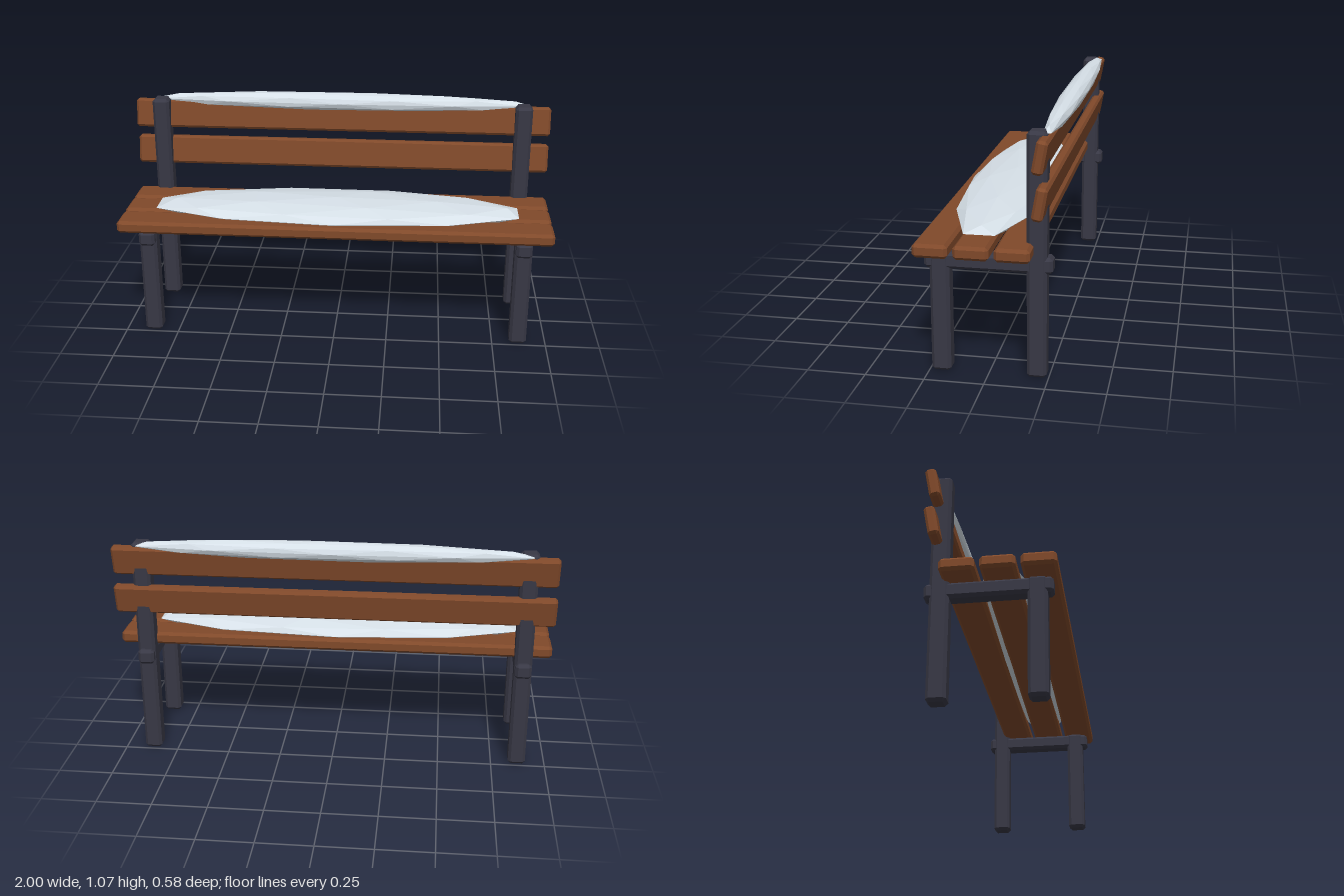
import * as THREE from 'three';
import { ConvexGeometry } from 'three/addons/geometries/ConvexGeometry.js';

function material(name, color) {
  const m = new THREE.MeshStandardMaterial({ color });
  m.name = name;
  return m;
}

// Box with chamfered edges, centred on the origin
function chamferBox(w, h, d, c) {
  const points = [];
  for (const x of [-1, 1]) for (const y of [-1, 1]) for (const z of [-1, 1]) {
    const X = w / 2, Y = h / 2, Z = d / 2;
    points.push(
      new THREE.Vector3(x * X, y * (Y - c), z * (Z - c)),
      new THREE.Vector3(x * (X - c), y * Y, z * (Z - c)),
      new THREE.Vector3(x * (X - c), y * (Y - c), z * Z),
    );
  }
  return new ConvexGeometry(points);
}

// Faceted sphere with a pole at the top, stretched into a mound
function moundGeometry(rx, ry, rz) {
  const verts = [0, 1, 0], faces = [];
  for (let i = 0; i < 10; i++) {
    const a = (i % 5) * Math.PI * 0.4 + (i < 5 ? 0 : Math.PI / 5);
    const r = 2 / Math.sqrt(5), y = (i < 5 ? 1 : -1) / Math.sqrt(5);
    verts.push(r * Math.cos(a), y, r * Math.sin(a));
  }
  verts.push(0, -1, 0);
  for (let i = 0; i < 5; i++) {
    const j = (i + 1) % 5, u = 1 + i, v = 1 + j, l = 6 + i, m = 6 + j;
    faces.push(0, v, u, u, v, l, l, v, m, l, m, 11);
  }
  const g = new THREE.PolyhedronGeometry(verts, faces, 1, 1);
  g.scale(rx, ry, rz);
  g.computeVertexNormals();
  return g;
}

export function createModel() {
  const wood = material('brown wood', 0x80492a);
  const metal = material('dark metal', 0x383845);
  const snow = material('snow', 0xdce6ee);
  const bench = new THREE.Group();
  bench.name = 'bench';

  function add(name, geometry, mat, x, y, z, tilt = 0) {
    const mesh = new THREE.Mesh(geometry, mat);
    mesh.name = name;
    mesh.position.set(x, y, z);
    mesh.rotation.x = tilt;
    bench.add(mesh);
  }

  // Legs and the rails joining them, mirrored
  for (const [side, x] of [['left', 0.87], ['right', -0.87]]) {
    add(side + 'FrontLeg', chamferBox(0.08, 0.525, 0.082, 0.013), metal, x, 0.2625, 0.2);
    add(side + 'BackPost', chamferBox(0.08, 1.035, 0.082, 0.013), metal, x, 0.5175, -0.2);
    add(side + 'SeatRail', chamferBox(0.074, 0.07, 0.53, 0.013), metal, x, 0.486, 0);
  }

  // Seat slats
  for (const z of [0.216, 0.05, -0.116]) {
    add('seatSlat', chamferBox(2, 0.058, 0.145, 0.013), wood, 0, 0.553, z);
  }

  // Backrest slats, leaning back
  for (const y of [0.767, 0.952]) {
    add('backSlat', chamferBox(2, 0.137, 0.046, 0.011), wood, 0, y, -0.224, -0.18);
  }

  // Snow lying on the seat and along the backrest
  add('seatSnow', moundGeometry(0.895, 0.056, 0.212), snow, 0, 0.585, 0.046);
  add('backSnow', moundGeometry(0.93, 0.044, 0.053), snow, 0, 1.025, -0.236);

  return bench;
}
